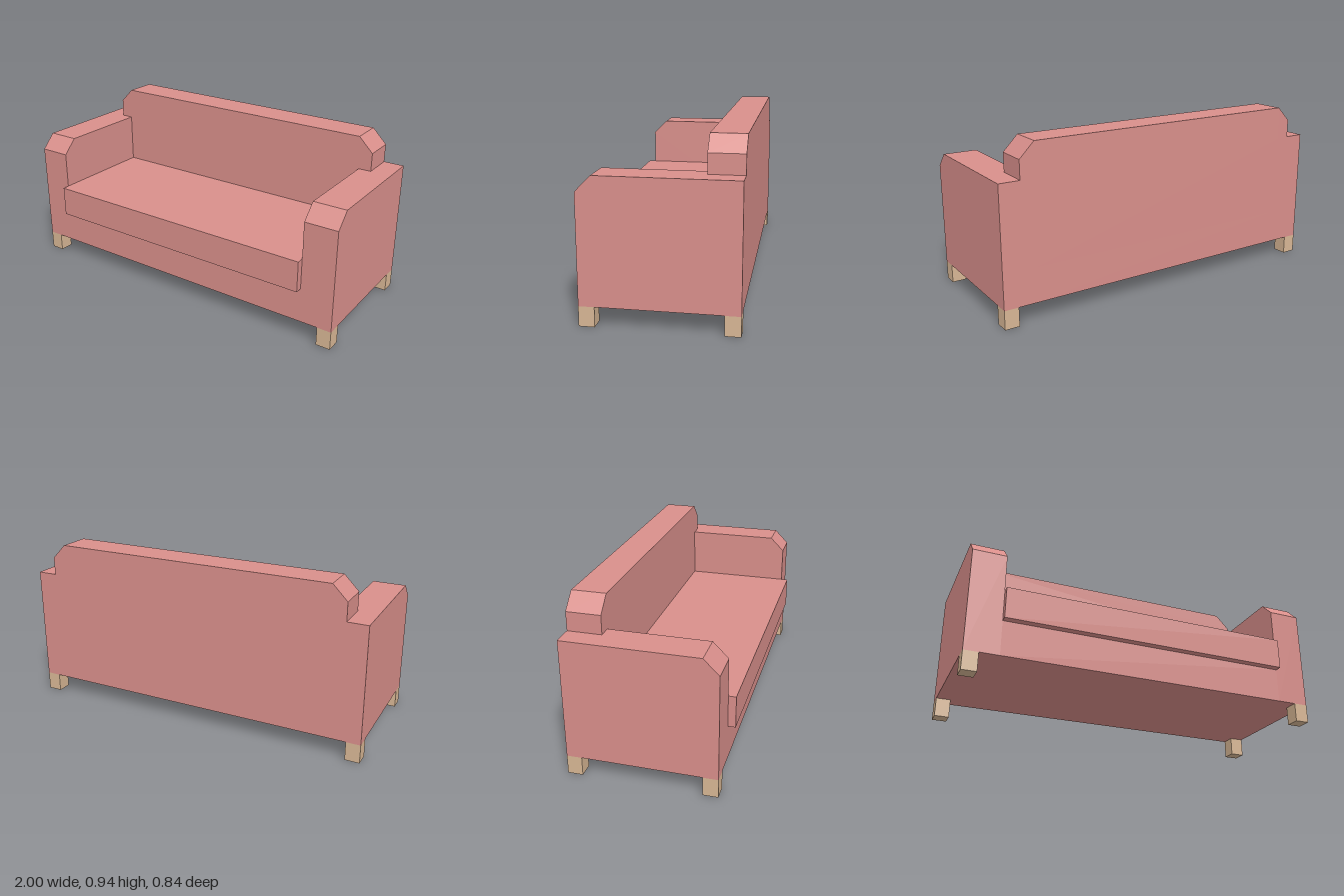
import * as THREE from 'three';

export function createModel() {
  const sofa = new THREE.Group();
  sofa.name = 'sofa';
  const fabric = new THREE.MeshStandardMaterial({ color: 0xd98f8b });
  fabric.name = 'pink fabric';
  const wood = new THREE.MeshStandardMaterial({ color: 0xd8b795 });
  wood.name = 'light wood';

  const add = (name, geometry, material) => {
    const mesh = new THREE.Mesh(geometry, material);
    mesh.name = name;
    sofa.add(mesh);
  };
  // Box given by its limits on each axis
  const box = (x0, x1, y0, y1, z0, z1) =>
    new THREE.BoxGeometry(x1 - x0, y1 - y0, z1 - z0)
      .translate((x0 + x1) / 2, (y0 + y1) / 2, (z0 + z1) / 2);
  const extrude = (points, depth) => new THREE.ExtrudeGeometry(
    new THREE.Shape(points.map(([x, y]) => new THREE.Vector2(x, y))),
    { depth, bevelEnabled: false });

  const back = -0.418, front = 0.378, backrestFront = -0.235;
  const bottom = 0.104, armTop = 0.756, seatBottom = 0.297, armInner = 0.815;

  // Base and seat cushion between the arms
  add('base', box(-armInner, armInner, bottom, seatBottom, back, front), fabric);
  add('seatCushion', box(-armInner, armInner, seatBottom, 0.47, backrestFront, 0.418), fabric);

  // Backrest: fits between the arms, then overhangs them with clipped corners
  const half = [[armInner, seatBottom], [armInner, armTop], [0.886, armTop], [0.886, 0.858], [0.805, 0.94]];
  const outline = [...half, ...half.map(([x, y]) => [-x, y]).reverse()];
  add('backrest', extrude(outline, backrestFront - back).translate(0, 0, back), fabric);

  // Arms: side profile (z, y) with a clipped front top edge
  const armProfile = [[back, bottom], [front, bottom], [front, 0.675], [0.297, armTop], [back, armTop]];
  for (const [side, outer] of [['left', 1], ['right', -armInner]]) {
    add(side + 'Arm', extrude(armProfile, 1 - armInner).rotateY(-Math.PI / 2).translate(outer, 0, 0), fabric);
  }

  // Four square legs at the corners
  for (const [side, x] of [['Left', 0.92], ['Right', -1]]) {
    for (const [end, z] of [['front', 0.297], ['back', back]]) {
      add(end + side + 'Leg', box(x, x + 0.08, 0, bottom, z, z + 0.081), wood);
    }
  }
  return sofa;
}
